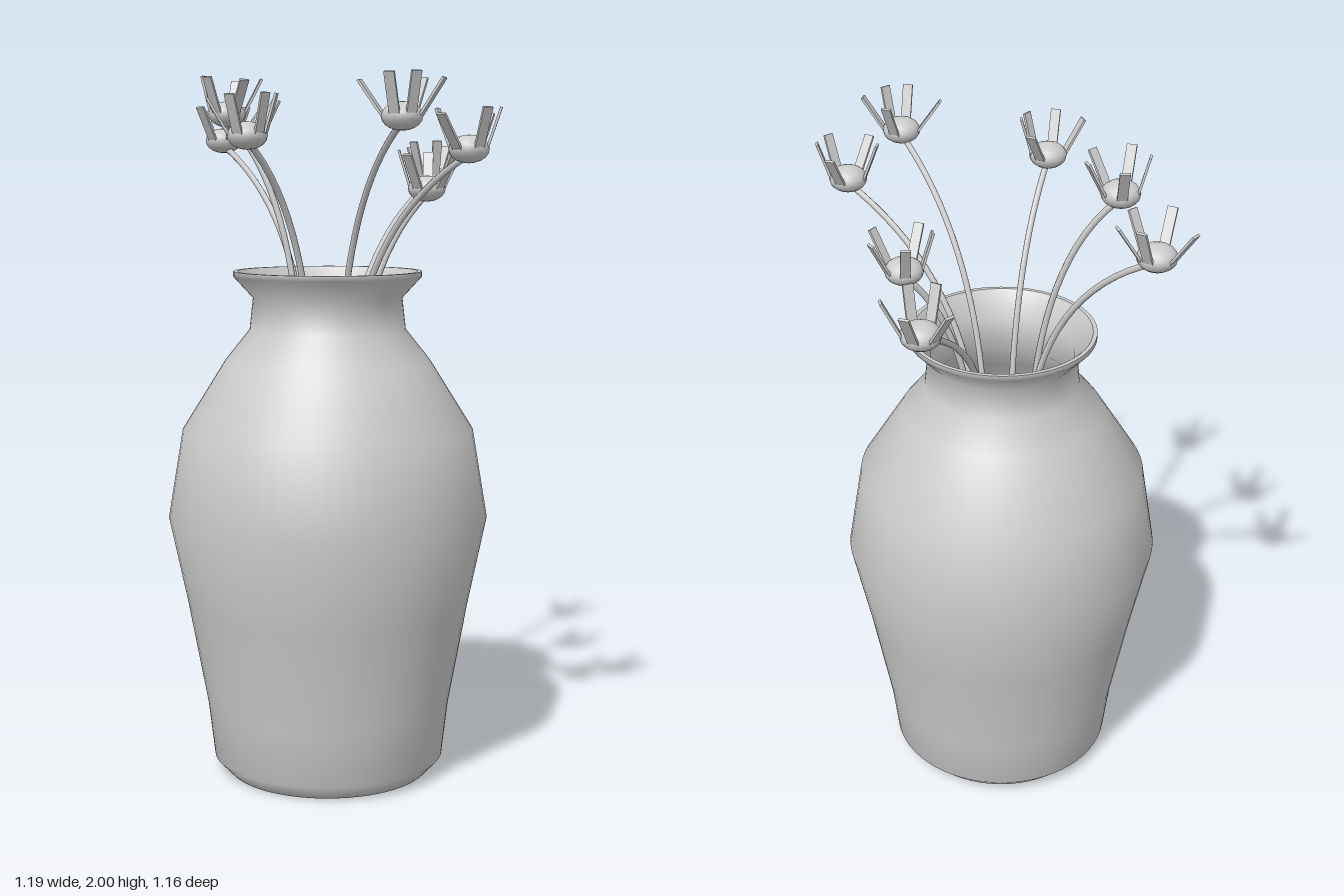
import * as THREE from 'three';

const grey = new THREE.MeshStandardMaterial({ color: 0xcccccc });
const CX = -0.005, CZ = 0.087; // vase axis
const FLOOR = 0.05;

// Each flower: stem foot [x, z], head [x, y, z], petals as [azimuth in degrees, tip radius]
const FLOWERS = [
  { foot: [-0.083, 0.064], head: [-0.48, 1.82, -0.057], petals: [[199, 0.113], [281, 0.095], [322, 0.11], [29, 0.098], [93, 0.105]] },
  { foot: [-0.083, 0.10], head: [-0.318, 1.89, 0.137], petals: [[248, 0.103], [316, 0.1], [26, 0.11], [88, 0.096], [170, 0.075]] },
  { foot: [0, 0.006], head: [-0.003, 1.71, -0.474], petals: [[268, 0.107], [207, 0.112], [328, 0.098], [41, 0.07], [97, 0.082]] },
  { foot: [0.057, 0.032], head: [0.207, 1.68, -0.102], petals: [[242, 0.095], [305, 0.1], [11, 0.102], [90, 0.108], [151, 0.08]] },
  { foot: [0.077, 0.105], head: [0.506, 1.785, 0.19], petals: [[270, 0.111], [332, 0.083], [28, 0.088], [98, 0.118], [170, 0.088]] },
  { foot: [0.064, 0.134], head: [0.43, 1.865, 0.398], petals: [[270, 0.103], [345, 0.11], [30, 0.075], [81, 0.085], [166, 0.114]] },
  { foot: [0, 0.166], head: [0.008, 1.82, 0.48], petals: [[276, 0.113], [335, 0.078], [15, 0.076], [84, 0.09], [142, 0.105]] },
];

function part(name, geometry) {
  const mesh = new THREE.Mesh(geometry, grey);
  mesh.name = name;
  return mesh;
}

function lathe(name, profile) {
  const points = profile.map(([r, y]) => new THREE.Vector2(r, y));
  return part(name, new THREE.LatheGeometry(points, 64));
}

function makeVase() {
  const vase = new THREE.Group();
  vase.name = 'vase';
  vase.position.set(CX, 0, CZ);
  vase.add(
    lathe('vaseBody', [
      [0, 0], [0.29, 0], [0.332, 0.045], [0.35, 0.2], [0.405, 0.5], [0.457, 0.75],
      [0.415, 1.0], [0.29, 1.2], [0.222, 1.285], [0.212, 1.375], [0.267, 1.435], [0.267, 1.45],
    ]),
    lathe('vaseRim', [[0.267, 1.45], [0.255, 1.45]]),
    lathe('vaseInside', [
      [0.255, 1.45], [0.204, 1.38], [0.201, 1.28], [0.27, 1.19], [0.395, 0.99],
      [0.437, 0.75], [0.385, 0.5], [0.33, 0.2], [0.315, FLOOR],
    ]),
    lathe('vaseFloor', [[0.315, FLOOR], [0, FLOOR]]),
  );
  return vase;
}

// Stem: straight inside the vase, then bending outward to the head
function makeStem([fx, fz], [hx, hy, hz]) {
  const path = new THREE.CurvePath();
  const bendStart = new THREE.Vector3(fx, 1.0, fz);
  path.add(new THREE.LineCurve3(new THREE.Vector3(fx, FLOOR, fz), bendStart));
  path.add(new THREE.QuadraticBezierCurve3(
    bendStart,
    new THREE.Vector3(fx, hy - 0.22, fz),
    new THREE.Vector3(hx, hy - 0.015, hz),
  ));
  return part('stem', new THREE.TubeGeometry(path, 40, 0.009, 8));
}

// Petal: thin strip hinged at the edge of the head, splayed so its tip reaches tipRadius
function makePetal(azimuth, tipRadius) {
  const length = 0.118, baseRadius = 0.045;
  const geometry = new THREE.BoxGeometry(0.007, length, 0.028);
  geometry.translate(0, length / 2, 0);
  geometry.rotateZ(-Math.asin((tipRadius - baseRadius) / length));
  geometry.translate(baseRadius, -0.005, 0);
  geometry.rotateY(-THREE.MathUtils.degToRad(azimuth));
  return part('petal', geometry);
}

function makeFlower({ foot, head, petals }) {
  const flower = new THREE.Group();
  flower.name = 'flower';
  const bloom = new THREE.Group();
  bloom.name = 'bloom';
  bloom.position.set(...head);
  const heart = new THREE.SphereGeometry(0.054, 16, 10);
  heart.scale(1, 0.68, 1);
  bloom.add(part('flowerHead', heart));
  for (const [azimuth, tipRadius] of petals) bloom.add(makePetal(azimuth, tipRadius));
  flower.add(makeStem(foot, head), bloom);
  return flower;
}

export function createModel() {
  const model = new THREE.Group();
  model.name = 'vaseWithFlowers';
  model.add(makeVase());
  for (const flower of FLOWERS) model.add(makeFlower(flower));
  return model;
}
